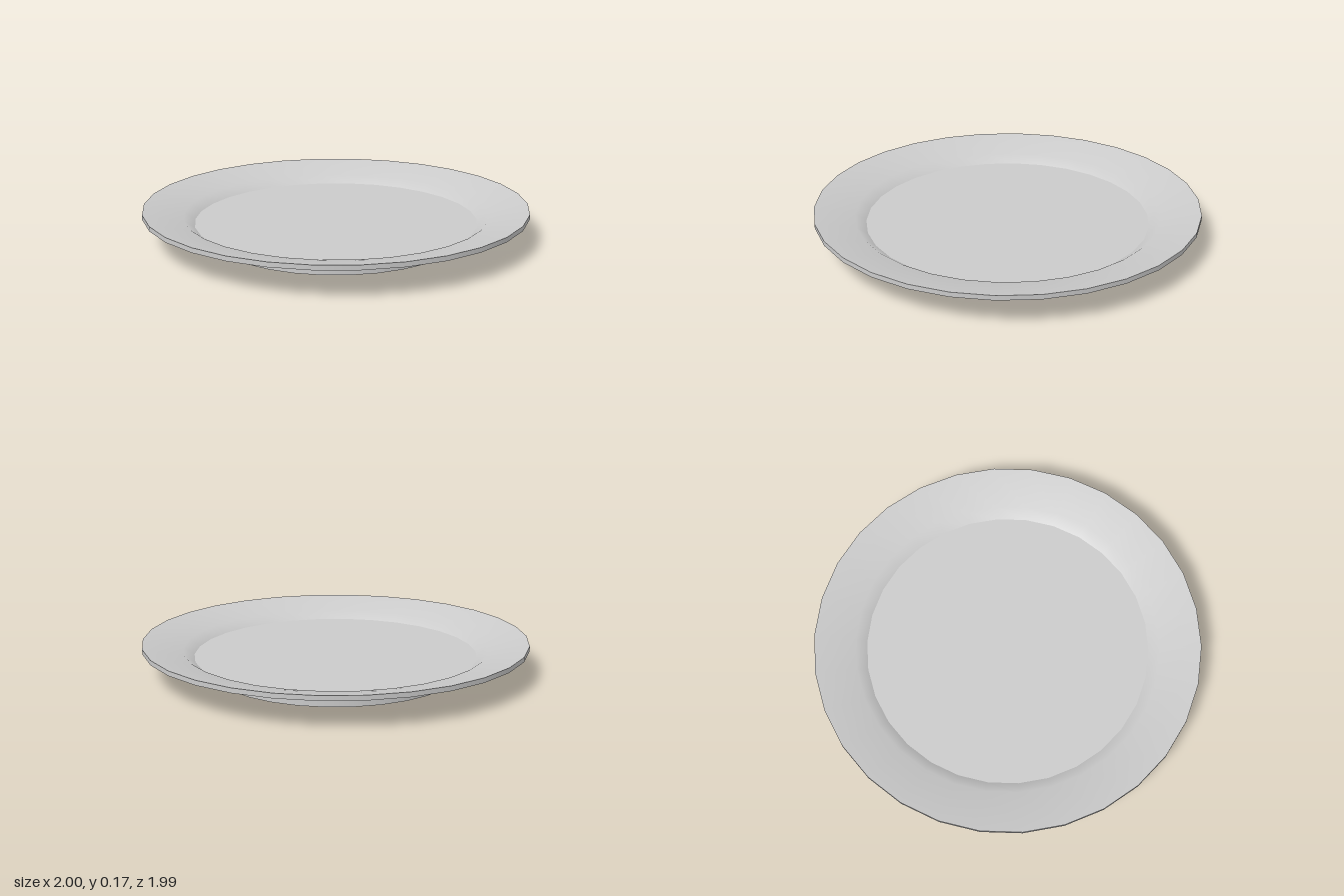
import * as THREE from 'three';

const SIDES = 30;

export function createModel() {
  const plate = new THREE.Group();
  plate.name = 'plate';
  const material = new THREE.MeshStandardMaterial({ color: 0xcccccc });

  // Each section is smooth in itself; the joints between sections stay sharp.
  const sections = {
    footBase: [[0, 0], [0.645, 0]],
    footRing: [[0.645, 0], [0.645, 0.045]],
    underside: [[0.645, 0.045], [0.83, 0.103], [1, 0.145]],
    rimEdge: [[1, 0.145], [1, 0.17]],
    upperRim: [[1, 0.17], [0.79, 0.125], [0.735, 0.087]],
    floor: [[0.735, 0.087], [0, 0.087]],
  };

  for (const [name, profile] of Object.entries(sections)) {
    const points = profile.map(([r, y]) => new THREE.Vector2(r, y));
    // Start on the x axis so that corners fall at x = 1 and x = -1
    const geometry = new THREE.LatheGeometry(points, SIDES, Math.PI / 2);
    const mesh = new THREE.Mesh(geometry, material);
    mesh.name = name;
    plate.add(mesh);
  }
  return plate;
}
